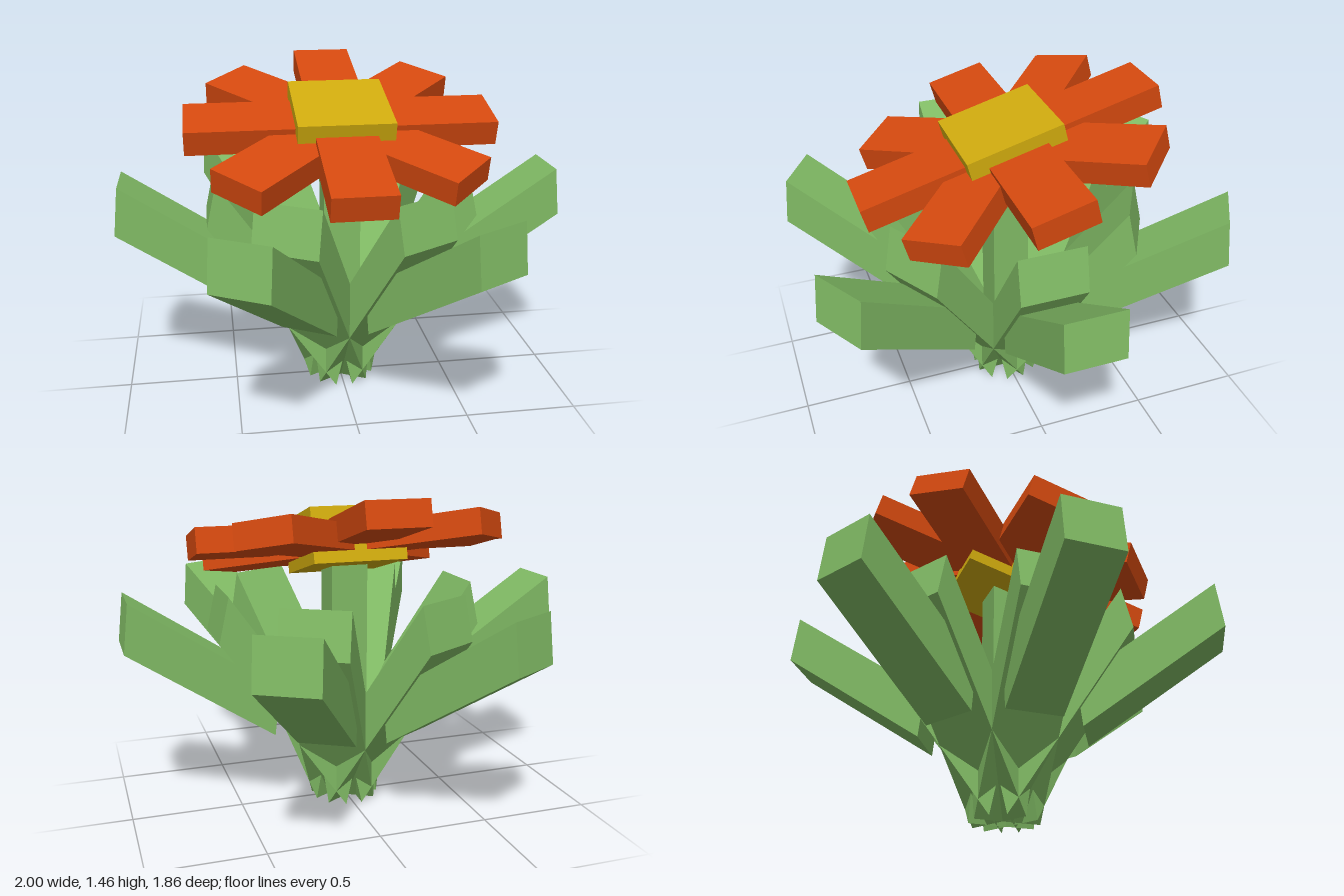
import * as THREE from 'three';

const material = (name, color) => {
  const m = new THREE.MeshStandardMaterial({ color });
  m.name = name;
  return m;
};

export function createModel() {
  const green = material('leafGreen', 0x80ba64);
  const orange = material('petalOrange', 0xd4490f);
  const yellow = material('centreYellow', 0xd0ab0e);

  const model = new THREE.Group();
  model.name = 'flower';

  const addBox = (parent, name, size, mat, y = 0, turn = 0) => {
    const mesh = new THREE.Mesh(new THREE.BoxGeometry(...size), mat);
    mesh.name = name;
    mesh.position.y = y;
    mesh.rotation.y = turn;
    parent.add(mesh);
  };

  // Slanted leaf: a four-cornered side profile (radius, height) extruded to its width
  const leafGeometry = (profile, width) => {
    const shape = new THREE.Shape(profile.map(([r, y]) => new THREE.Vector2(r, y)));
    return new THREE.ExtrudeGeometry(shape, { depth: width, bevelEnabled: false })
      .translate(0, 0, -width / 2);
  };
  const innerLeaf = leafGeometry([[0.038, 0], [0.605, 0.82], [0.56, 1.02], [-0.007, 0.2]], 0.3);
  const outerLeaf = leafGeometry([[0.365, 0.375], [1, 0.8], [0.975, 1.015], [0.34, 0.59]], 0.26);

  // Six pairs of leaves around the stem
  for (let i = 0; i < 6; i++) {
    for (const [name, geometry] of [['innerLeaf', innerLeaf], ['outerLeaf', outerLeaf]]) {
      const leaf = new THREE.Mesh(geometry, green);
      leaf.name = name;
      leaf.rotation.y = (i * Math.PI) / 3;
      model.add(leaf);
    }
  }

  // Stem, rising from inside the leaf base into the flower head
  addBox(model, 'stem', [0.165, 0.9, 0.165], green, 0.75);

  // Flower head, tipped towards the front
  const head = new THREE.Group();
  head.name = 'flowerHead';
  head.position.y = 1.228;
  head.rotation.x = Math.PI / 12;
  model.add(head);

  // Each bar makes two opposite petals; the diagonal bars sit slightly lower
  for (let i = 0; i < 4; i++) {
    addBox(head, 'petalPair', [1.368, 0.11, 0.268], orange, i % 2 ? -0.025 : 0, (i * Math.PI) / 4);
  }
  addBox(head, 'flowerCentre', [0.42, 0.24, 0.434], yellow, -0.01);

  return model;
}
